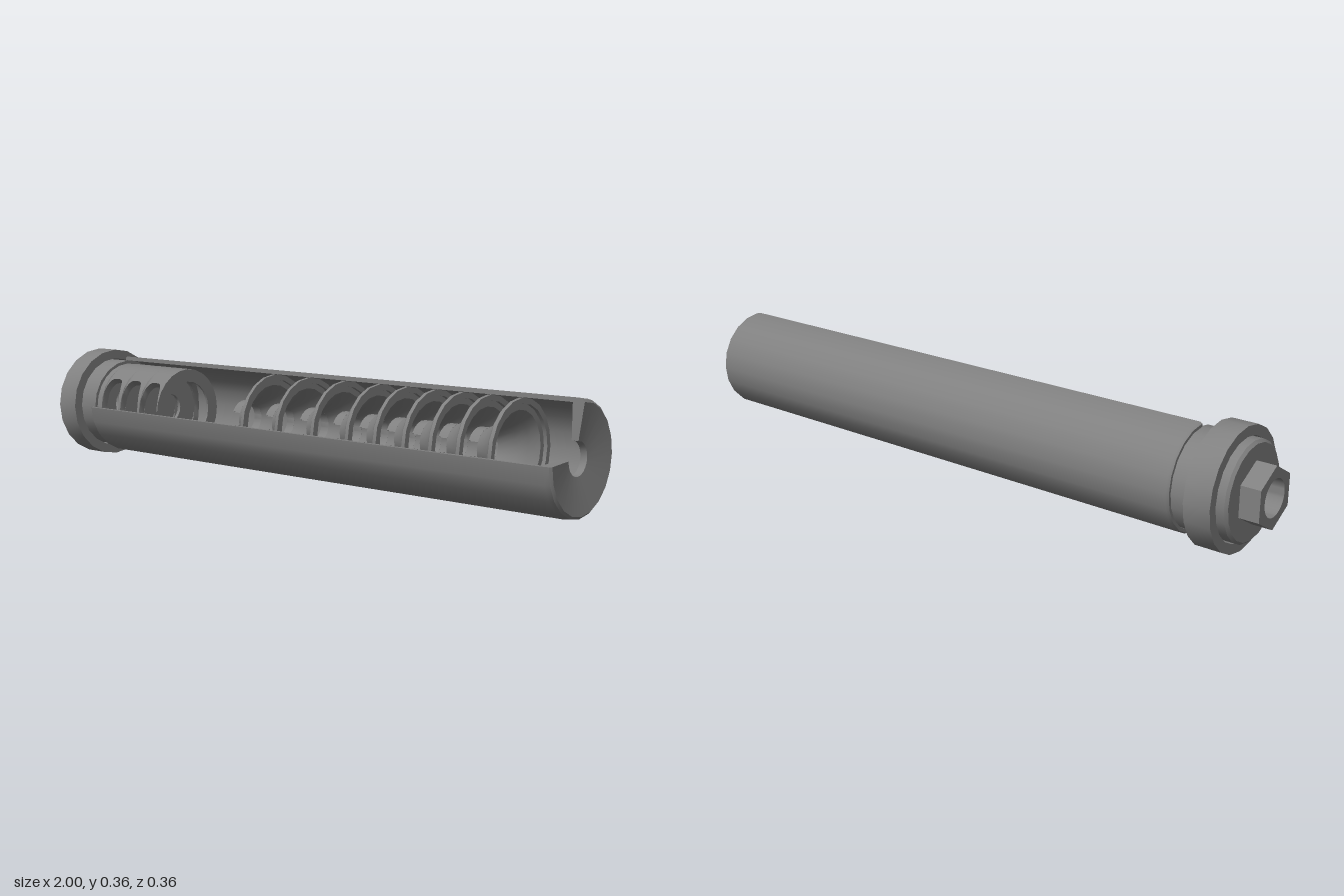
import * as THREE from 'three';
import { toCreasedNormals } from 'three/addons/utils/BufferGeometryUtils.js';

const AXIS_Y = 0.18, BORE = 0.047, REAR_BORE = 0.055, SIDES = 20;
const material = new THREE.MeshStandardMaterial({ color: 0x808080, side: THREE.DoubleSide });

function addMesh(parent, name, geometry) {
  const mesh = new THREE.Mesh(toCreasedNormals(geometry, 0.6), material);
  mesh.name = name;
  parent.add(mesh);
  return mesh;
}

// Closed profile of [x, radius] points turned about the x axis; angle 0 points to +z
function turned(profile, start = 0, length = Math.PI * 2) {
  const points = [...profile, profile[0]].map(([x, r]) => new THREE.Vector2(r, x));
  const segments = Math.round((SIDES * length) / (Math.PI * 2));
  return new THREE.LatheGeometry(points, segments, start, length).rotateZ(-Math.PI / 2);
}

function ring(x0, x1, inner, outer) {
  return [[x0, inner], [x0, outer], [x1, outer], [x1, inner]];
}

// Ported half shell: a bent box whose edges draw back to leave rounded side openings
function portedHalf(x0, x1, inner, outer, ports) {
  const geometry = new THREE.BoxGeometry(1, 1, 1, 90, 12, 1);
  const p = geometry.attributes.position;
  for (let i = 0; i < p.count; i++) {
    const x = THREE.MathUtils.lerp(x0, x1, p.getX(i) + 0.5);
    let gap = 0;
    for (const c of ports) {
      const t = (x - c) / 0.041;
      if (Math.abs(t) < 1) gap = 0.77 * Math.sqrt(1 - t ** 4);
    }
    const angle = THREE.MathUtils.lerp(gap, Math.PI - gap, p.getY(i) + 0.5);
    const r = p.getZ(i) > 0 ? outer : inner;
    p.setXYZ(i, x, r * Math.sin(angle), r * Math.cos(angle));
  }
  return geometry;
}

export function createModel() {
  const model = new THREE.Group();
  model.name = 'cutawayTube';
  const body = new THREE.Group();
  body.name = 'body';
  body.position.y = AXIS_Y;
  model.add(body);

  // Outer tube with dished end wall, upper front quarter cut away
  const wall = [[-0.773, 0.147], [-0.773, 0.156], [-0.765, 0.16], [0.98, 0.16], [0.994, 0.157],
    [1, 0.15], [0.985, BORE], [0.965, BORE], [0.965, 0.147]];
  addMesh(body, 'outerTube', turned(wall, 0, Math.PI * 1.5));

  // Flat faces closing the cut
  const section = new THREE.Shape(wall.map(([x, r]) => new THREE.Vector2(x, r)));
  addMesh(body, 'upperCutFace', new THREE.ShapeGeometry(section));
  addMesh(body, 'frontCutFace', new THREE.ShapeGeometry(section).rotateX(Math.PI / 2));

  // Rear plug and collar
  const plug = [[-0.94, REAR_BORE], [-0.94, 0.138], [-0.932, 0.146], [-0.765, 0.146], [-0.765, REAR_BORE]];
  addMesh(body, 'rearPlug', turned(plug));
  addMesh(body, 'collar', turned(ring(-0.91, -0.83, 0.15, 0.18)));

  // Hexagonal nut with a round bore
  const hex = new THREE.Shape();
  for (let i = 0; i < 6; i++) {
    const a = (i * Math.PI) / 3 + Math.PI / 2;
    hex[i ? 'lineTo' : 'moveTo'](0.092 * Math.cos(a), 0.092 * Math.sin(a));
  }
  hex.closePath();
  hex.holes.push(new THREE.Path().absarc(0, 0, REAR_BORE, 0, Math.PI * 2, true));
  const nut = new THREE.ExtrudeGeometry(hex, { depth: 0.07, bevelEnabled: false, curveSegments: 20 });
  addMesh(body, 'hexNut', nut.rotateY(Math.PI / 2).translate(-1, 0, 0));

  // Inner ported sleeve with cross walls and an end ring
  const sleeve = new THREE.Group();
  sleeve.name = 'portedSleeve';
  body.add(sleeve);
  for (const turn of [0, Math.PI]) {
    const half = portedHalf(-0.77, -0.47, 0.113, 0.136, [-0.702, -0.608, -0.514]);
    addMesh(sleeve, 'sleeveHalf', half).rotation.x = turn;
  }
  for (const x of [-0.661, -0.567]) {
    addMesh(sleeve, 'sleeveWall', turned(ring(x, x + 0.012, BORE, 0.115)));
  }
  addMesh(sleeve, 'sleeveEndRing', turned(ring(-0.477, -0.47, 0.095, 0.115)));

  // Row of flared baffles, each with a stepped rim and a notched nose
  const flare = [[-0.1, 0.056], [-0.075, 0.068], [-0.05, 0.085], [-0.03, 0.103], [-0.014, 0.126],
    [-0.012, 0.14], [-0.006, 0.146], [0.005, 0.146], [0.005, 0.13], [-0.006, 0.13],
    [-0.006, 0.113], [-0.03, 0.091], [-0.055, 0.072], [-0.1, BORE]];
  for (const x of [-0.08, 0.06, 0.2, 0.33, 0.43, 0.53, 0.62, 0.71, 0.81]) {
    const baffle = new THREE.Group();
    baffle.name = 'baffle';
    baffle.position.x = x;
    body.add(baffle);
    addMesh(baffle, 'flare', turned(flare));
    addMesh(baffle, 'nose', turned(ring(-0.13, -0.1, BORE, 0.056), 0.45, Math.PI * 2 - 0.9));
  }
  return model;
}
